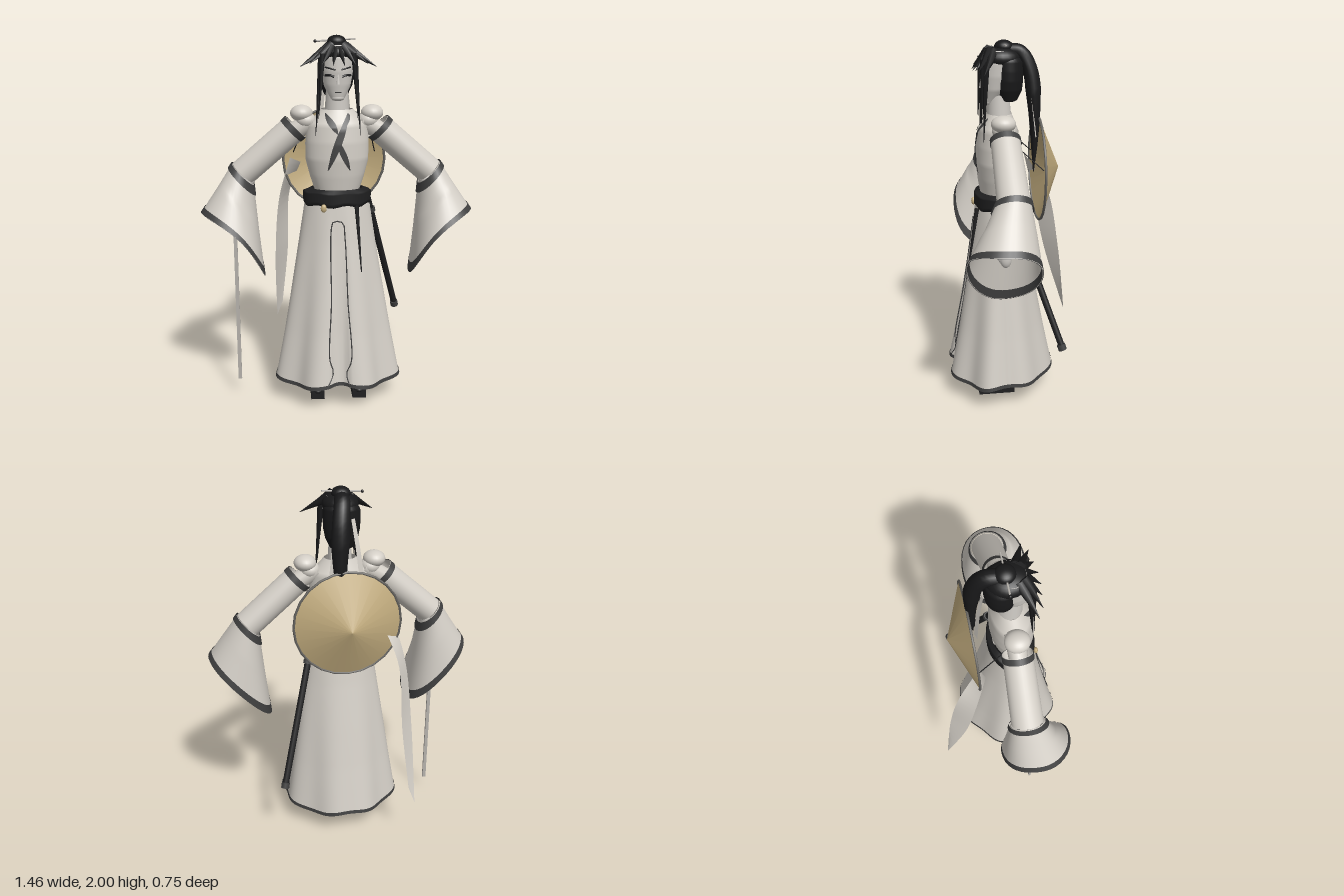
import * as THREE from 'three';
import { ParametricGeometry } from 'three/addons/geometries/ParametricGeometry.js';

const { sin, cos, PI, asin, max, min, floor } = Math;
const V = (x, y, z) => new THREE.Vector3(x, y, z);

export function createModel() {
  const root = new THREE.Group();
  const mat = (name, color) => Object.assign(new THREE.MeshStandardMaterial({ color, side: THREE.DoubleSide }), { name });
  const cloth = mat('pale cloth', 0xd3cec6);
  const skin = mat('pale skin', 0xcfcbc5);
  const trim = mat('dark grey trim', 0x3f3f3f);
  const black = mat('black lacquer', 0x1f1f20);
  const hairMat = mat('black hair', 0x19191a);
  const straw = mat('straw', 0xc2ac7e);
  const rimMat = mat('grey rim', 0x65635f);
  const steel = mat('steel', 0xb5b1ab);

  const add = (name, geo, m, parent = root) => {
    const mesh = new THREE.Mesh(geo, m);
    mesh.name = name;
    parent.add(mesh);
    return mesh;
  };
  const group = (name) => {
    const g = new THREE.Group();
    g.name = name;
    root.add(g);
    return g;
  };
  // Elliptical cross-sections [cx, cy, cz, ax, ay, rz], listed bottom to top
  const at = (secs, t, v, mod) => {
    const k = min(max(v, 0), 1) * (secs.length - 1), i = min(floor(k), secs.length - 2);
    const s = secs[i].map((a, j) => a + (secs[i + 1][j] - a) * (k - i));
    const p = V(s[0] + s[3] * sin(t), s[1] + s[4] * sin(t), s[2] + s[5] * cos(t));
    if (mod) mod(p, t, v, s);
    return p;
  };
  const loft = (secs, mod, slices = 32, v0 = 0, v1 = 1, stacks = (secs.length - 1) * 4) => new ParametricGeometry(
    (u, v, out) => out.copy(at(secs, u * 2 * PI, v0 + (v1 - v0) * v, mod)), slices, stacks);
  const upright = (rows) => rows.map(([y, rx, rz, cz]) => [0, y, cz, rx, 0, rz]);
  // Point on the front of a loft with evenly spaced sections
  const front = (secs, x, y, mod, lift = 0.005) => {
    const y0 = secs[0][1], v = (y - y0) / (secs[secs.length - 1][1] - y0);
    const rx = at(secs, PI / 2, v).x;
    const p = at(secs, asin(max(-1, min(1, x / rx))), v, mod);
    p.z += lift;
    return p;
  };
  // Painted strip lying on the front of a loft
  const strip = (name, secs, [xa, ya], [xb, yb], w, m, parent, taper = true) => add(name, new ParametricGeometry((u, v, out) => {
    const width = w * (taper ? 0.15 + sin(PI * v) : 1);
    out.copy(front(secs, xa + (xb - xa) * v + (u - 0.5) * width, ya + (yb - ya) * v));
  }, 3, 12), m, parent);
  const rod = (name, a, b, ra, rb, m, parent, sides = 12) => {
    const d = V(...b).sub(V(...a));
    const geo = new THREE.CylinderGeometry(rb, ra, d.length(), sides);
    const mesh = add(name, geo, m, parent);
    mesh.position.set(...a).addScaledVector(d, 0.5);
    mesh.quaternion.setFromUnitVectors(V(0, 1, 0), d.normalize());
    return mesh;
  };
  const ball = (name, p, r, m, parent) => {
    const mesh = add(name, new THREE.SphereGeometry(1, 24, 16), m, parent);
    mesh.position.set(...p);
    mesh.scale.set(...r);
    return mesh;
  };
  const tube = (name, pts, r, m, parent) => add(name, new THREE.TubeGeometry(
    new THREE.CatmullRomCurve3(pts), pts.length * 6, r, 6), m, parent);
  // Flat ribbon through edge pairs
  const ribbon = (name, pairs, m, parent) => {
    const l = new THREE.CatmullRomCurve3(pairs.map((p) => V(...p[0])));
    const r = new THREE.CatmullRomCurve3(pairs.map((p) => V(...p[1])));
    add(name, new ParametricGeometry((u, v, out) => out.lerpVectors(l.getPoint(v), r.getPoint(v), u), 1, 20), m, parent);
  };

  // Skirt with folds, narrower back, hem and recessed front opening
  const skirt = group('skirt');
  const skirtSecs = upright([[0.13, 0.35, 0.3, 0.07], [0.38, 0.303, 0.25, 0.073], [0.63, 0.26, 0.205, 0.076], [0.88, 0.217, 0.16, 0.08], [1.13, 0.175, 0.122, 0.083]]);
  const folds = (p, t, v, s) => {
    const back = max(0, -cos(t));
    const k = 1 - 0.055 * (1 - v) * (1 - 0.7 * back) * cos(8 * t);
    p.x *= k * (1 - 0.24 * (1 - v) * back);
    p.z = s[2] + (p.z - s[2]) * k;
    p.y += 0.012 * (1 - v) * cos(4 * t);
    if (cos(t) > 0) p.z -= 0.022 * (1 - v) * Math.exp(-((p.x / 0.045) ** 4));
  };
  add('outerSkirt', loft(skirtSecs, folds, 128), cloth, skirt);
  const hemMod = (p, t, v, s) => {
    folds(p, t, v, s);
    p.x *= 1.01;
    p.z += (p.z - s[2]) * 0.01;
  };
  add('skirtHem', loft(skirtSecs, hemMod, 128, 0, 0.02, 1), trim, skirt);
  add('underSkirt', loft(upright([[0.105, 0.27, 0.225, 0.07], [1.0, 0.16, 0.11, 0.08]]), folds, 64), cloth, skirt);
  const outline = [[-0.07, 0.14], [-0.04, 0.21], [-0.058, 0.29], [-0.045, 0.6], [-0.042, 0.98], [-0.03, 1.035],
    [0.02, 1.03], [0.032, 0.95], [0.045, 0.6], [0.06, 0.28], [0.035, 0.2], [0.05, 0.14]];
  tube('frontPanelEdge', outline.map(([x, y]) => front(skirtSecs, x, y, folds, 0.001)), 0.0035, trim, skirt);
  rod('sashTail', [0.095, 1.12, 0.205], [0.118, 0.77, 0.262], 0.012, 0.003, black, skirt, 6);

  // Torso with crossed lapels, neck
  const torso = group('torso');
  const torsoSecs = upright([[1.17, 0.115, 0.09, 0.085], [1.26, 0.145, 0.105, 0.085], [1.35, 0.168, 0.115, 0.085], [1.44, 0.17, 0.115, 0.083], [1.53, 0.165, 0.108, 0.078], [1.62, 0.085, 0.065, 0.07]]);
  add('robeTop', loft(torsoSecs), cloth, torso);
  strip('lapelLowerLeft', torsoSecs, [0.06, 1.31], [-0.01, 1.48], 0.03, trim, torso);
  strip('lapelUpperRight', torsoSecs, [-0.005, 1.5], [-0.065, 1.605], 0.034, trim, torso);
  strip('lapelCrossing', torsoSecs, [-0.055, 1.31], [0.055, 1.605], 0.036, trim, torso);
  strip('lapelCorner', torsoSecs, [0.03, 1.53], [0.06, 1.6], 0.024, trim, torso);
  rod('neck', [0, 1.58, 0.07], [0, 1.72, 0.075], 0.066, 0.058, skin, torso, 20);
  add('sash', loft(upright([[1.1, 0.165, 0.115, 0.084], [1.12, 0.183, 0.128, 0.084], [1.18, 0.186, 0.128, 0.084], [1.2, 0.14, 0.1, 0.084]]),
    (p, t, v) => { p.y += 0.01 * sin(7 * t) * (1 - v); }, 40), black, torso);
  ball('sashCharm', [-0.08, 1.11, 0.21], [0.016, 0.022, 0.012], straw, torso);

  // Arms: shoulder puff, upper sleeve, bell sleeve, hand
  for (const s of [1, -1]) {
    const arm = group(s > 0 ? 'leftArm' : 'rightArm');
    const side = (secs) => secs.map(([x, y, z, ax, ay, rz]) => [x * s, y, z, ax, ay * s, rz]);
    const upper = side([[0.505, 1.28, 0.06, 0.053, 0.053, 0.083], [0.22, 1.525, 0.065, 0.052, 0.055, 0.076]]);
    const bell = side([[0.565, 0.9, 0.11, 0.165, 0.18, 0.187], [0.535, 1.09, 0.088, 0.108, 0.117, 0.142], [0.505, 1.275, 0.06, 0.056, 0.057, 0.086]]);
    // Slightly squared cuff, cut back along the front rim
    const cuff = (p, t, v, q) => {
      const c = V(q[0], q[1], q[2]), k = max(0, cos(t)) ** 2 * max(0, 1 - 1.6 * v);
      p.sub(c).multiplyScalar(1 + 0.045 * (1 - v) * sin(2 * t) ** 2).add(c);
      p.x -= 0.05 * s * k;
      p.y += 0.055 * k;
    };
    const band = (mod, g) => (p, t, v, q) => {
      const c = V(q[0], q[1], q[2]);
      if (mod) mod(p, t, v, q);
      p.sub(c).multiplyScalar(g).add(c);
    };
    add('upperSleeve', loft(upper), cloth, arm);
    add('shoulderBand', loft(upper, band(null, 1.05), 32, 0.91, 1, 1), trim, arm);
    add('bellSleeve', loft(bell, cuff, 40), cloth, arm);
    add('cuffBand', loft(bell, band(cuff, 1.015), 40, 0, 0.11, 2), trim, arm);
    add('cuffLining', loft(bell, band(cuff, 0.982), 40, 0, 0.1, 2), trim, arm);
    add('elbowBand', loft(bell, band(null, 1.09), 32, 0.89, 1, 1), trim, arm);
    ball('shoulderPuff', [0.188 * s, 1.598, 0.07], [0.06, 0.044, 0.065], cloth, arm);
    ball('shoulderJoint', [0.165 * s, 1.56, 0.07], [0.055, 0.045, 0.058], cloth, arm);
    rod('upperArm', [0.13 * s, 1.56, 0.07], [0.3 * s, 1.46, 0.065], 0.052, 0.045, cloth, arm);
    rod('forearm', [0.42 * s, 1.35, 0.065], [0.565 * s, 1.07, 0.1], 0.036, 0.026, skin, arm);
    ball('hand', [0.575 * s, 1.02, 0.108], [0.024, 0.05, 0.03], skin, arm);
    ball('thumb', [0.575 * s, 1.03, 0.135], [0.012, 0.03, 0.012], skin, arm);

    // Leg and sandal
    const leg = group(s > 0 ? 'leftLeg' : 'rightLeg');
    rod('trouserLeg', [0.115 * s, 0.09, 0.05], [0.08 * s, 0.95, 0.08], 0.042, 0.065, black, leg);
    rod('sock', [0.117 * s, 0.05, 0.125], [0.117 * s, 0.15, 0.075], 0.036, 0.04, cloth, leg);
    ball('toeCap', [0.117 * s, 0.045, 0.16], [0.037, 0.025, 0.06], black, leg);
    ball('heel', [0.117 * s, 0.05, 0.045], [0.037, 0.03, 0.045], black, leg);
    add('sole', new THREE.BoxGeometry(0.076, 0.045, 0.205), black, leg).position.set(0.117 * s, 0.0225, 0.11);
  }

  // Head and face
  const head = group('head');
  const faceSecs = upright([[1.675, 0.034, 0.03, 0.12], [1.74, 0.069, 0.066, 0.095], [1.81, 0.083, 0.088, 0.08], [1.88, 0.087, 0.09, 0.075], [1.95, 0.07, 0.07, 0.07]]);
  add('face', loft(faceSecs), skin, head);
  ball('chin', [0, 1.682, 0.12], [0.037, 0.018, 0.033], skin, head);
  rod('nose', [0, 1.755, 0.165], [0, 1.815, 0.163], 0.011, 0.003, skin, head, 6);
  strip('mouth', faceSecs, [0, 1.711], [0, 1.717], 0.035, trim, head, false);
  for (const s of [1, -1]) {
    tube('eyeLine', [0.02, 0.042, 0.066].map((x, i) => front(faceSecs, x * s, 1.795 + [0, 0.008, 0.006][i], null, 0.002)), 0.006, black, head);
    tube('brow', [0.014, 0.04, 0.066].map((x, i) => front(faceSecs, x * s, 1.83 + i * 0.006, null, 0.002)), 0.004, black, head);
  }

  // Hair: cap, bun, pin, fringe, side locks and ponytail
  const hair = group('hair');
  const capSecs = upright([[1.69, 0.062, 0.05, 0.024], [1.74, 0.086, 0.074, 0.024], [1.79, 0.096, 0.08, 0.024], [1.84, 0.098, 0.082, 0.024], [1.89, 0.096, 0.082, 0.025], [1.94, 0.06, 0.055, 0.03]]);
  add('backHair', loft(capSecs), hairMat, hair);
  ball('napeHair', [0, 1.695, 0.024], [0.064, 0.016, 0.051], hairMat, hair);
  ball('crownHair', [0, 1.908, 0.06], [0.094, 0.06, 0.105], hairMat, hair);
  ball('bun', [0, 1.965, 0.045], [0.05, 0.035, 0.05], hairMat, hair);
  rod('hairPin', [-0.11, 1.968, 0.045], [0.1, 1.98, 0.045], 0.005, 0.004, steel, hair, 8);
  ball('pinHead', [-0.112, 1.968, 0.045], [0.008, 0.008, 0.008], black, hair);
  for (const s of [1, -1]) {
    const locks = [[0.04, 1.94, 0.1, 0.195, 1.845, 0.165, 0.03], [0.03, 1.95, 0.12, 0.15, 1.86, 0.19, 0.026],
      [0.03, 1.94, 0.13, 0.085, 1.855, 0.2, 0.025], [0.01, 1.93, 0.14, 0.03, 1.85, 0.21, 0.018],
      [0.085, 1.9, 0.145, 0.118, 1.49, 0.165, 0.019], [0.08, 1.91, 0.16, 0.102, 1.58, 0.175, 0.016]];
    for (const [x, y, z, x2, y2, z2, r] of locks) rod('lock', [s * x, y, z], [s * x2, y2, z2], r, 0.001, hairMat, hair, 6);
    ribbon('hairRibbon', [[[s * 0.03, 1.86, -0.07], [s * 0.05, 1.86, -0.065]], [[s * 0.05, 1.7, -0.1], [s * 0.075, 1.7, -0.09]],
      [[s * 0.07, 1.5, -0.12], [s * 0.1, 1.5, -0.11]]], cloth, hair);
  }
  const tailPath = new THREE.CatmullRomCurve3([V(0, 1.95, 0.03), V(0.01, 1.94, -0.04), V(0.025, 1.85, -0.09), V(0.035, 1.65, -0.112), V(0.03, 1.45, -0.115), V(0.03, 1.3, -0.112)]);
  add('ponytail', new ParametricGeometry((u, v, out) => {
    const t = u * 2 * PI, tan = tailPath.getTangent(v), r = 0.003 + 0.046 * (v < 0.5 ? 0.75 + 0.5 * v : 2 * (1 - v));
    const n = V(1, 0, 0).cross(tan).normalize();
    out.copy(tailPath.getPoint(v)).addScaledVector(n, r * 0.85 * sin(t));
    out.x += r * cos(t);
  }, 12, 28), hairMat, hair);

  // Straw hat carried on the back
  const hat = group('backHat');
  hat.position.set(0, 1.315, -0.137);
  const cone = add('hatCone', new THREE.ConeGeometry(0.288, 0.118, 24, 1, true).rotateX(-PI / 2), straw, hat);
  cone.position.z = -0.059;
  add('hatRim', new THREE.TorusGeometry(0.288, 0.007, 6, 24), rimMat, hat);
  for (const s of [1, -1]) rod('hatCord', [s * 0.19, 0.165, 0.14], [s * 0.23, 0.04, 0], 0.003, 0.003, black, hat, 6);

  // Trailing ribbon
  ribbon('trailingRibbon', [[[-0.25, 1.33, -0.1], [-0.19, 1.3, -0.125]], [[-0.315, 1.08, -0.165], [-0.255, 1.1, -0.245]],
    [[-0.342, 0.72, -0.24], [-0.268, 0.74, -0.315]], [[-0.34, 0.28, -0.374], [-0.305, 0.38, -0.36]]], cloth);

  // Scabbard at the left hip
  const scabbard = group('scabbard');
  rod('sheath', [0.17, 1.14, 0.03], [0.372, 0.41, -0.22], 0.018, 0.018, black, scabbard);
  rod('sheathTip', [0.37, 0.415, -0.217], [0.377, 0.385, -0.227], 0.023, 0.023, trim, scabbard);
  rod('sheathCollar', [0.193, 1.06, 0.002], [0.199, 1.04, -0.005], 0.025, 0.025, trim, scabbard);

  // Drawn sword in the right hand
  const sword = group('sword');
  rod('grip', [-0.565, 1.0, 0.11], [-0.567, 1.17, 0.11], 0.013, 0.013, black, sword);
  rod('guard', [-0.564, 0.985, 0.11], [-0.564, 0.995, 0.11], 0.036, 0.036, trim, sword, 16);
  add('blade', new THREE.BoxGeometry(0.02, 0.89, 0.012), steel, sword).position.set(-0.555, 0.54, 0.11);
  return root;
}
